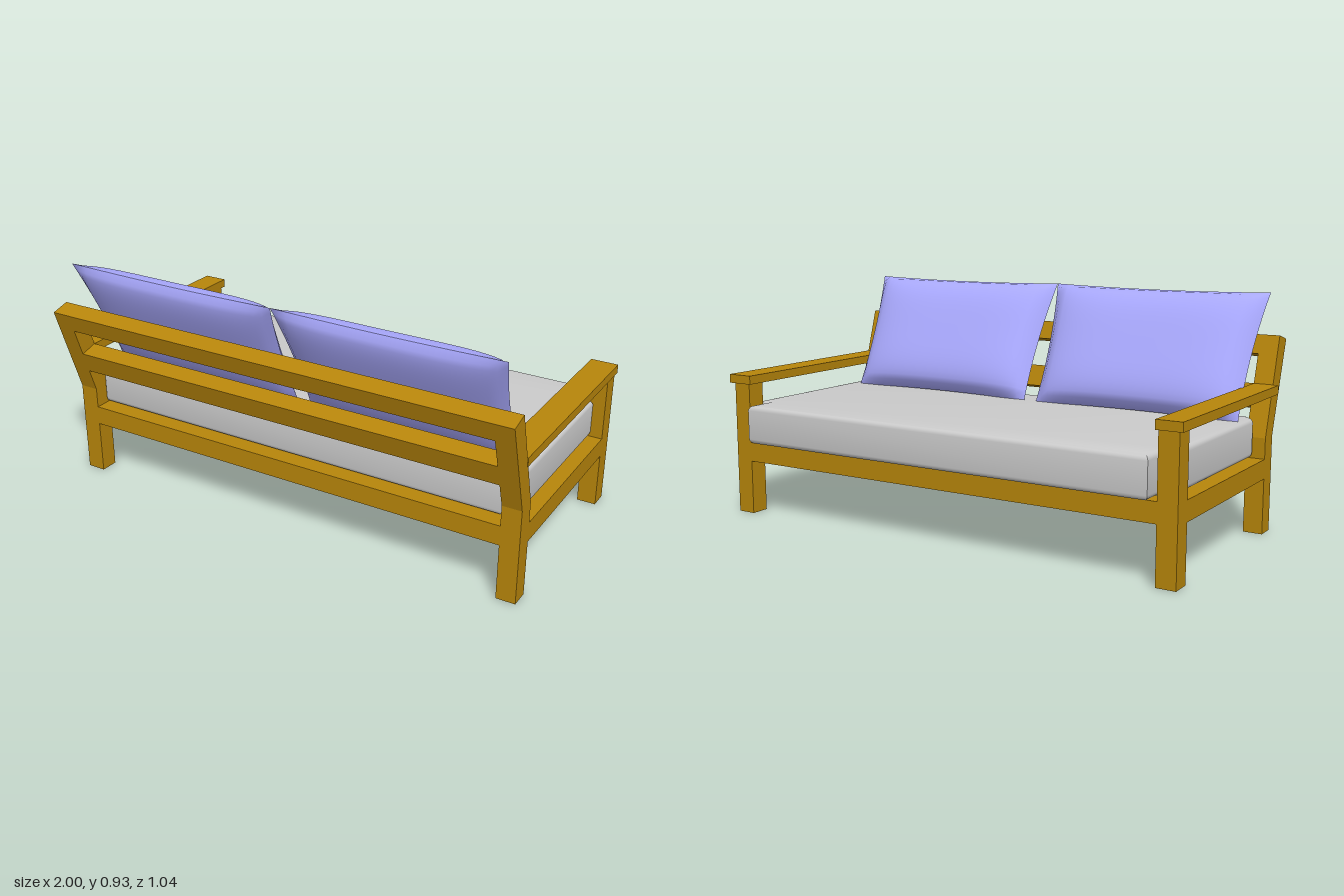
import * as THREE from 'three';
import { mergeGeometries, toCreasedNormals } from 'three/addons/utils/BufferGeometryUtils.js';

const wood = new THREE.MeshStandardMaterial({ color: 0xb8860b });
const fabric = new THREE.MeshStandardMaterial({ color: 0xcccccc });
const pillowFabric = new THREE.MeshStandardMaterial({ color: 0xaaaaff, side: THREE.DoubleSide });

function addMesh(group, name, geometry, material) {
  const mesh = new THREE.Mesh(geometry, material);
  mesh.name = name;
  group.add(mesh);
  return mesh;
}

// Box given by its limits on each axis
function boxBetween(x0, x1, y0, y1, z0, z1) {
  return new THREE.BoxGeometry(x1 - x0, y1 - y0, z1 - z0)
    .translate((x0 + x1) / 2, (y0 + y1) / 2, (z0 + z1) / 2);
}

// Side profile of [z, y] points, extruded along x
function profileAlongX(points, x0, x1) {
  const shape = new THREE.Shape(points.map(([z, y]) => new THREE.Vector2(-z, y)));
  return new THREE.ExtrudeGeometry(shape, { depth: x1 - x0, bevelEnabled: false })
    .rotateY(Math.PI / 2).translate(x0, 0, 0);
}

// Rail following the lean of the back posts, between two heights
function backRail(y0, y1, x0, x1) {
  const rear = y => [0.4 + 0.329 * (y - 0.38), y];
  const inner = y => [0.325 + 0.312 * (y - 0.36), y + 0.02];
  return profileAlongX([rear(y0), inner(y0), inner(y1), rear(y1)], x0, x1);
}

// Seat cushion: outline stepped in around the front legs, soft top and bottom edges
function seatCushionGeometry() {
  const r = 0.02;
  const outline = [
    [-0.88, -0.52], [0.9, -0.52], [0.9, -0.405], [0.95, -0.405],
    [0.95, 0.31], [0.915, 0.345], [-0.895, 0.345], [-0.93, 0.31],
    [-0.93, -0.405], [-0.88, -0.405],
  ];
  const shape = new THREE.Shape(outline.map(([x, z]) => new THREE.Vector2(x, -z)));
  const geometry = new THREE.ExtrudeGeometry(shape, {
    depth: 0.157 - 2 * r, bevelThickness: r, bevelSize: r, bevelOffset: -r, bevelSegments: 4,
  });
  geometry.rotateX(-Math.PI / 2).translate(0, 0.301 + r, 0);
  return toCreasedNormals(geometry, 0.6);
}

// Leaning pillow: two bulged sheets meeting at a seam, with pulled-out corners
function pillowGeometry(centreX, width) {
  const up = new THREE.Vector3(0, 0.9, 0.436);
  const out = new THREE.Vector3(0, -0.436, 0.9);
  const sheets = [1, -1].map(side => {
    const sheet = new THREE.PlaneGeometry(2, 2, 28, 24);
    if (side < 0) sheet.rotateY(Math.PI);
    const pos = sheet.attributes.position;
    const p = new THREE.Vector3();
    for (let i = 0; i < pos.count; i++) {
      const u = pos.getX(i), v = pos.getY(i);
      const fill = Math.sqrt(Math.max(0, (1 - u ** 4) * (1 - v ** 4)));
      const halfWidth = width * (0.94 + 0.03 * v + 0.03 * v * v);
      const height = 0.264 * v * (1 - 0.03 * (1 - u * u));
      p.set(centreX + u * halfWidth, 0.692, 0.315)
        .addScaledVector(up, height)
        .addScaledVector(out, side * 0.06 * fill - 0.018 * fill);
      pos.setXYZ(i, p.x, p.y, p.z);
    }
    sheet.computeVertexNormals();
    return sheet;
  });
  return mergeGeometries(sheets);
}

export function createModel() {
  const sofa = new THREE.Group();
  sofa.name = 'sofa';

  // Ends: bent back post, straight front leg, side rail and armrest
  const backPost = [[0.4, 0], [0.325, 0], [0.325, 0.38], [0.445, 0.765], [0.52, 0.745], [0.4, 0.38]];
  const ends = [
    { side: 'left', x0: 0.922, x1: 0.998, arm0: 0.89, arm1: 1 },
    { side: 'right', x0: -0.977, x1: -0.9, arm0: -1, arm1: -0.9 },
  ];
  for (const { side, x0, x1, arm0, arm1 } of ends) {
    const end = new THREE.Group();
    end.name = `${side}End`;
    addMesh(end, 'backPost', profileAlongX(backPost, x0, x1), wood);
    addMesh(end, 'frontLeg', boxBetween(x0, x1, 0, 0.545, -0.487, -0.41), wood);
    addMesh(end, 'sideRail', boxBetween(x0, x1, 0.22, 0.298, -0.41, 0.325), wood);
    addMesh(end, 'armrest', boxBetween(arm0, arm1, 0.545, 0.58, -0.515, 0.385), wood);
    sofa.add(end);
  }

  // Long rails of the seat frame and backrest
  addMesh(sofa, 'frontSeatRail', boxBetween(-0.9, 0.922, 0.22, 0.298, -0.487, -0.41), wood);
  addMesh(sofa, 'backSeatRail', boxBetween(-0.9, 0.922, 0.22, 0.298, 0.325, 0.4), wood);
  addMesh(sofa, 'middleBackRail', backRail(0.475, 0.56, -0.9, 0.922), wood);
  addMesh(sofa, 'topBackRail', backRail(0.672, 0.745, -0.9, 0.922), wood);

  // Upholstery
  addMesh(sofa, 'seatCushion', seatCushionGeometry(), fabric);
  addMesh(sofa, 'rightPillow', pillowGeometry(-0.47, 0.47), pillowFabric);
  addMesh(sofa, 'leftPillow', pillowGeometry(0.463, 0.463), pillowFabric);

  return sofa;
}
